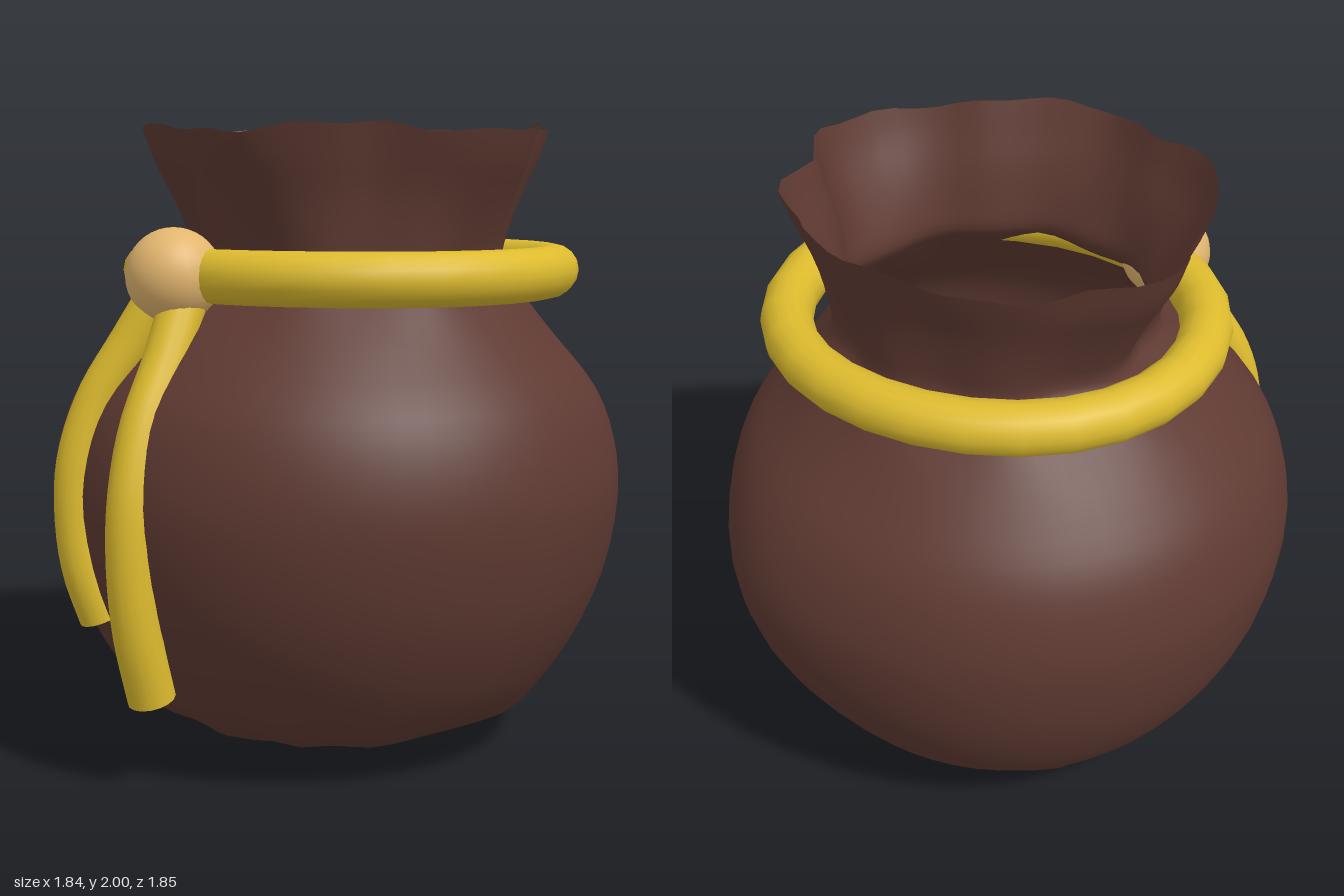
import * as THREE from 'three';
import { mergeVertices } from 'three/addons/utils/BufferGeometryUtils.js';

const V3 = (p) => new THREE.Vector3(...p);

// Corners of the crumpled mouth, as [x, z] around the opening
const RIM = [[0, -0.6], [-0.23, -0.58], [-0.4, -0.48], [-0.55, -0.38], [-0.62, -0.25], [-0.58, -0.1],
  [-0.6, 0.1], [-0.52, 0.35], [-0.3, 0.48], [-0.1, 0.615], [0.15, 0.57], [0.28, 0.48], [0.58, 0.35],
  [0.695, 0.12], [0.61, -0.05], [0.655, -0.24], [0.52, -0.35], [0.37, -0.51]]
  .map(([x, z]) => ({ a: Math.atan2(x - 0.03, z), r: Math.hypot(x - 0.03, z) }))
  .sort((p, q) => p.a - q.a);

// Mouth radius at an angle, interpolated between the corners
function rimRadius(a) {
  const n = RIM.length;
  const full = Math.PI * 2;
  for (let i = 0; i < n; i++) {
    const p = RIM[i], q = RIM[(i + 1) % n];
    const span = (q.a - p.a + full) % full;
    const t = ((a - p.a + full * 2) % full) / span;
    if (t <= 1) return p.r + (q.r - p.r) * t;
  }
  return 0.6;
}

// Cloth sack: a turned profile, pleated at the neck and puckered underneath
function sackGeometry() {
  const body = [[0, 0.003], [0.17, 0.022], [0.34, 0.047], [0.5, 0.093], [0.65, 0.175], [0.785, 0.36],
    [0.88, 0.58], [0.922, 0.82], [0.905, 1.0], [0.845, 1.16], [0.735, 1.3], [0.625, 1.42], [0.545, 1.505],
    [0.497, 1.57], [0.508, 1.66], [0.54, 1.78], [0.58, 1.89], [0.61, 1.985]]
    .map(([x, y]) => new THREE.Vector2(x, y));
  const profile = new THREE.SplineCurve(body).getPoints(51);
  profile[0].x = 0;
  let geo = new THREE.LatheGeometry(profile, 60);
  geo.deleteAttribute('uv');
  geo.deleteAttribute('normal');
  geo = mergeVertices(geo, 1e-4);
  const pos = geo.attributes.position;
  for (let i = 0; i < pos.count; i++) {
    const x = pos.getX(i), y = pos.getY(i), z = pos.getZ(i);
    const r = Math.hypot(x, z), a = Math.atan2(x, z);
    const neck = THREE.MathUtils.smoothstep(y, 1.3, 1.6);
    const flare = THREE.MathUtils.smoothstep(y, 1.5, 1.92);
    const rim = THREE.MathUtils.smoothstep(y, 1.85, 1.985);
    const pucker = Math.exp(-(((y - 0.12) / 0.06) ** 2));
    // The belly sags outward towards one back corner
    const side = Math.atan2(Math.sin(a - 2.5), Math.cos(a - 2.5));
    const sag = 0.045 * Math.exp(-((side / 0.35) ** 2) - ((y - 0.8) / 0.45) ** 2);
    let radius = r * (1 + flare * (rimRadius(a) / 0.61 - 1)) + sag * Math.min(1, r / 0.6);
    radius += neck * (1 - flare) * 0.014 * Math.sin(9 * a + 1);
    radius += pucker * 0.02 * Math.sin(11 * a + 2 * Math.sin(3 * a));
    const lift = rim * (0.013 * Math.sin(5 * a) + 0.008 * Math.sin(13 * a + 1));
    pos.setXYZ(i, radius * Math.sin(a) + neck * (0.045 - 0.015 * flare), Math.min(2, y + lift),
      radius * Math.cos(a) - 0.015 * neck * (1 - flare));
  }
  geo.computeVertexNormals();
  return geo;
}

export function createModel() {
  const group = new THREE.Group();
  const cloth = new THREE.MeshStandardMaterial({ name: 'brown cloth', color: 0x5f3a32, side: THREE.DoubleSide });
  const cord = new THREE.MeshStandardMaterial({ name: 'yellow cord', color: 0xddbb2e });
  const wood = new THREE.MeshStandardMaterial({ name: 'tan bead', color: 0xe3b66f });

  const add = (name, geo, mat, parent = group) => {
    const mesh = new THREE.Mesh(geo, mat);
    mesh.name = name;
    parent.add(mesh);
    return mesh;
  };

  add('sack', sackGeometry(), cloth);

  // Cord around the neck, slightly wider from side to side
  const ring = new THREE.TorusGeometry(0.655, 0.082, 16, 28);
  ring.rotateX(Math.PI / 2);
  const rp = ring.attributes.position;
  for (let i = 0; i < rp.count; i++) {
    const x = rp.getX(i), z = rp.getZ(i), r = Math.hypot(x, z);
    rp.setXYZ(i, x, rp.getY(i), z * (r - 0.06 * Math.abs(z / r)) / r);
  }
  add('neckCord', ring, cord).position.set(0.045, 1.543, -0.003);

  // Bead that gathers the cord
  add('bead', new THREE.SphereGeometry(0.147, 28, 20), wood).position.set(-0.34, 1.542, 0.54);

  // Two loose cord ends draped over the sack, with flat caps
  const tails = {
    longTail: [0.073, [[-0.3, 1.5, 0.54], [-0.32, 1.3, 0.645], [-0.35, 1.1, 0.76], [-0.36, 0.9, 0.825],
      [-0.36, 0.7, 0.84], [-0.35, 0.5, 0.825], [-0.33, 0.29, 0.775]]],
    shortTail: [0.066, [[-0.38, 1.5, 0.54], [-0.47, 1.34, 0.58], [-0.56, 1.17, 0.63], [-0.61, 0.98, 0.67],
      [-0.615, 0.8, 0.68], [-0.595, 0.64, 0.675], [-0.557, 0.49, 0.645]]],
  };
  for (const [name, [radius, points]] of Object.entries(tails)) {
    const curve = new THREE.CatmullRomCurve3(points.map(V3));
    const tail = new THREE.Group();
    tail.name = name;
    group.add(tail);
    add(name + 'Cord', new THREE.TubeGeometry(curve, 24, radius, 16), cord, tail);
    const cap = add(name + 'End', new THREE.CircleGeometry(radius, 16), cord, tail);
    const end = curve.getPoint(1);
    cap.position.copy(end);
    cap.lookAt(end.clone().add(curve.getTangent(1)));
  }
  return group;
}
